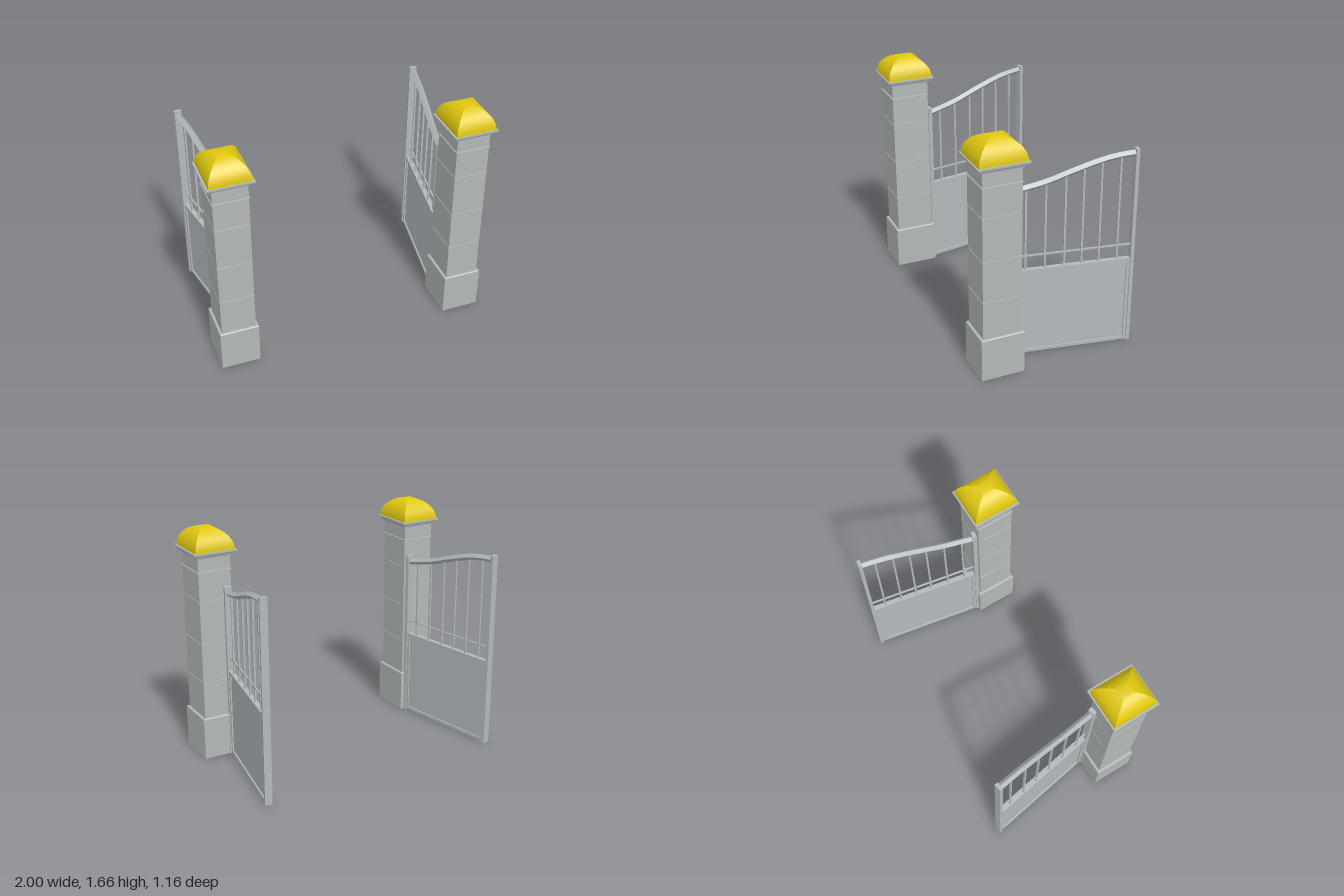
import * as THREE from 'three';
import { toCreasedNormals } from 'three/addons/utils/BufferGeometryUtils.js';

const stone = new THREE.MeshStandardMaterial({ color: 0xb3b9b8 });
stone.name = 'stone';
const metal = new THREE.MeshStandardMaterial({ color: 0xb3b9bc });
metal.name = 'gate metal';
const gold = new THREE.MeshStandardMaterial({ color: 0xe0c810 });
gold.name = 'gold';

function add(parent, name, geometry, material, x = 0, y = 0, z = 0) {
  const mesh = new THREE.Mesh(geometry, material);
  mesh.name = name;
  mesh.position.set(x, y, z);
  parent.add(mesh);
  return mesh;
}

// Stacked rectangular rings, each [halfX, halfZ, y], listed from bottom to top
function stacked(rings) {
  const corners = [[1, 1], [1, -1], [-1, -1], [-1, 1]];
  const pos = [], index = [];
  for (const [hx, hz, y] of rings)
    for (const [sx, sz] of corners) pos.push(sx * hx, y, sz * hz);
  for (let i = 0; i < rings.length - 1; i++)
    for (let k = 0; k < 4; k++) {
      const a = i * 4 + k, b = i * 4 + (k + 1) % 4;
      index.push(a, b, b + 4, a, b + 4, a + 4);
    }
  const g = new THREE.BufferGeometry();
  g.setAttribute('position', new THREE.Float32BufferAttribute(pos, 3));
  g.setIndex(index);
  return toCreasedNormals(g, 0.4);
}

// Shaft half sizes; profiles are offsets outward from these
const HX = 0.12, HZ = 0.135;
const closed = (profile) => stacked([
  [0, 0, profile[0][1]],
  ...profile.map(([o, y]) => [HX + o, HZ + o, y]),
  [0, 0, profile[profile.length - 1][1]],
]);

function makePillar(name) {
  const g = new THREE.Group();
  g.name = name;
  add(g, 'plinth', closed([[0.0175, 0], [0.0175, 0.3], [0.0125, 0.305]]), stone);

  // Shaft with shallow joints between the blocks
  const shaft = [[0, 0.3]];
  for (const y of [0.575, 0.865, 1.17])
    shaft.push([0, y - 0.003], [-0.003, y - 0.002], [-0.003, y + 0.002], [0, y + 0.003]);
  shaft.push([0, 1.475]);
  add(g, 'shaft', closed(shaft), stone);
  add(g, 'neckBand', closed([[0, 1.369], [0.006, 1.371], [0.006, 1.376], [0, 1.378]]), stone);

  // Stepped moulding under the dome
  add(g, 'capMoulding', closed([
    [0.006, 1.47], [0.009, 1.481], [0.019, 1.483], [0.024, 1.494],
    [0.029, 1.502], [0.038, 1.503], [0.038, 1.515],
  ]), stone);

  // Four-sided dome with rounded faces meeting at the corners
  const dome = [];
  for (let i = 0; i <= 16; i++) {
    const t = (i / 16) * Math.PI / 2;
    dome.push([0.144 * Math.cos(t), 0.163 * Math.cos(t), 1.515 + 0.149 * Math.sin(t)]);
  }
  add(g, 'dome', stacked(dome), gold);
  return g;
}

// Gate leaf running along local +x from the hinge post
function makeGate(name) {
  const g = new THREE.Group();
  g.name = name;
  const bar = (part, w, h, d, x, y) => add(g, part, new THREE.BoxGeometry(w, h, d), metal, x, y, 0);
  const END = 0.826;

  bar('hingePost', 0.03, 1.255, 0.05, 0, 0.6275);
  bar('endPost', 0.024, 1.43, 0.052, END, 0.715);

  // Swept top rail
  const curve = new THREE.CatmullRomCurve3(
    [[0.005, 1.21], [0.225, 1.256], [0.408, 1.315], [0.61, 1.373], [0.72, 1.391], [0.82, 1.399]]
      .map(([x, y]) => new THREE.Vector3(x, y, 0)));
  add(g, 'topRail', toCreasedNormals(new THREE.TubeGeometry(curve, 24, 0.023, 4), 0.4), metal);

  // Lower panel in its frame
  const x0 = 0.012, x1 = 0.815, mid = (x0 + x1) / 2;
  bar('lowerPanel', x1 - x0, 0.62, 0.016, mid, 0.32);
  bar('frameBottom', x1 - x0, 0.022, 0.036, mid, 0.016);
  bar('frameTop', x1 - x0, 0.022, 0.036, mid, 0.629);
  bar('frameHingeSide', 0.022, 0.63, 0.036, x0 + 0.012, 0.322);
  bar('frameEndSide', 0.022, 0.63, 0.036, x1 - 0.013, 0.322);
  bar('crossBar', END, 0.01, 0.012, END / 2, 0.74);

  // Upright bars reaching up to the rail
  const samples = curve.getPoints(200);
  for (const z of [0.16, 0.03, -0.1, -0.218, -0.335, -0.46]) {
    const x = (0.252 - z) / 0.985;
    const top = samples.find((p) => p.x >= x).y;
    bar('uprightBar', 0.013, top - 0.635, 0.013, x, (top + 0.635) / 2);
  }
  return g;
}

export function createModel() {
  const model = new THREE.Group();
  model.name = 'gateway';
  for (const side of [1, -1]) {
    const label = side > 0 ? 'left' : 'right';
    const pillar = makePillar(label + 'Pillar');
    pillar.position.set(side * 0.842, 0, 0.404);
    // Both leaves stand open, turned ten degrees outward
    const gate = makeGate(label + 'Gate');
    gate.position.set(side * 0.758, 0, 0.251);
    gate.rotation.y = THREE.MathUtils.degToRad(90 - side * 10);
    model.add(pillar, gate);
  }
  return model;
}
